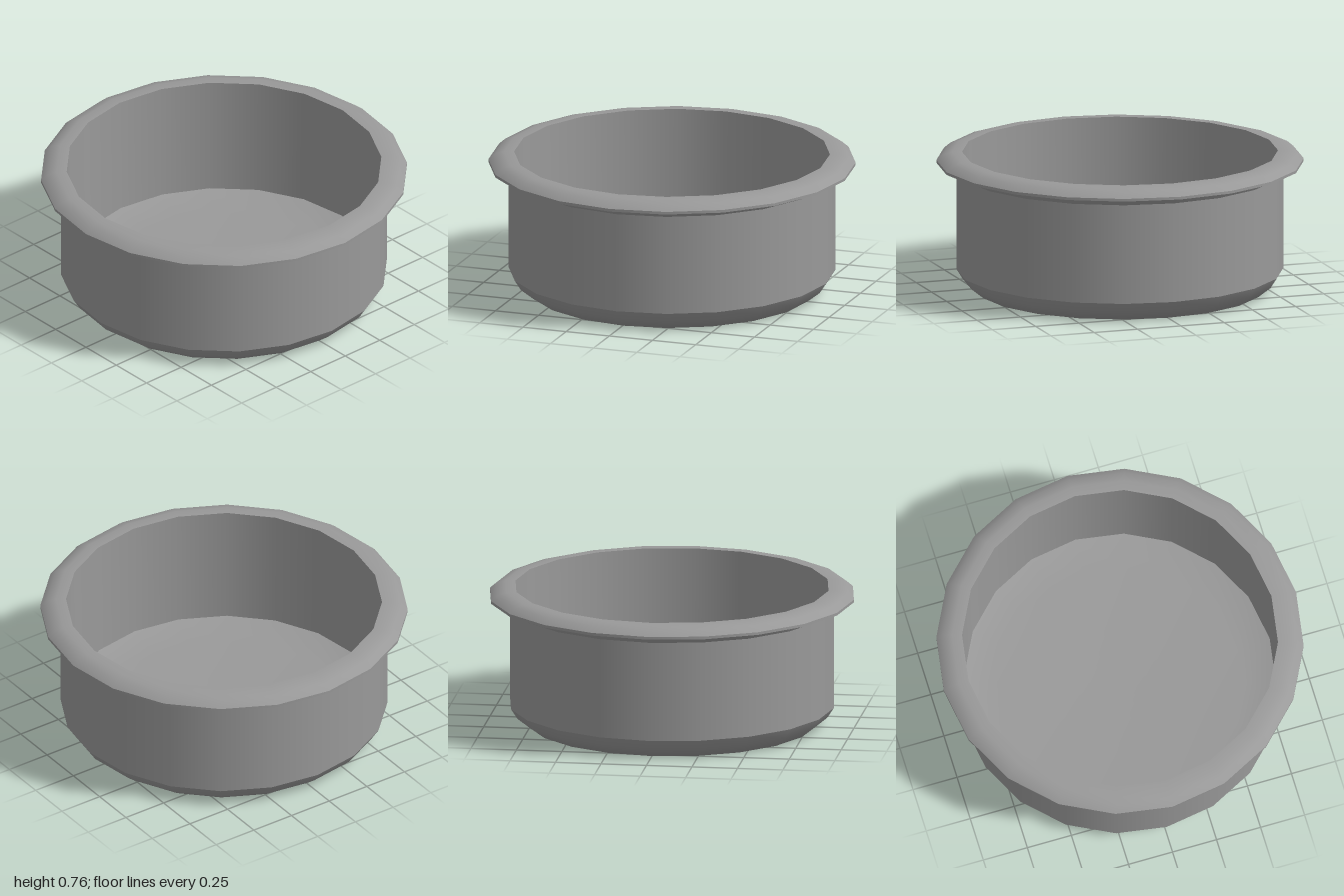
import * as THREE from 'three';

const SIDES = 20;

// Each band is a smooth surface of revolution; edges between bands stay sharp.
// Profiles run from the base centre, up the outside, over the rim and down inside.
const bands = {
  base: [[0, 0], [0.785, 0], [0.855, 0.055], [0.89, 0.11]],
  outerWall: [[0.89, 0.11], [0.89, 0.66]],
  collar: [[0.89, 0.66], [0.92, 0.705]],
  rimUnderside: [[0.92, 0.705], [1, 0.705]],
  rimEdge: [[1, 0.705], [1, 0.72]],
  rimTop: [[1, 0.72], [0.965, 0.75], [0.915, 0.765], [0.86, 0.765]],
  innerWall: [[0.86, 0.765], [0.85, 0.1]],
  innerFloor: [[0.85, 0.1], [0.67, 0.055], [0, 0.05]],
};

export function createModel() {
  const group = new THREE.Group();
  group.name = 'roundPan';
  const metal = new THREE.MeshStandardMaterial({ color: 0x999999 });
  metal.name = 'grey metal';

  for (const [name, profile] of Object.entries(bands)) {
    const points = profile.map(([r, y]) => new THREE.Vector2(r, y));
    const mesh = new THREE.Mesh(new THREE.LatheGeometry(points, SIDES), metal);
    mesh.name = name;
    group.add(mesh);
  }
  return group;
}
